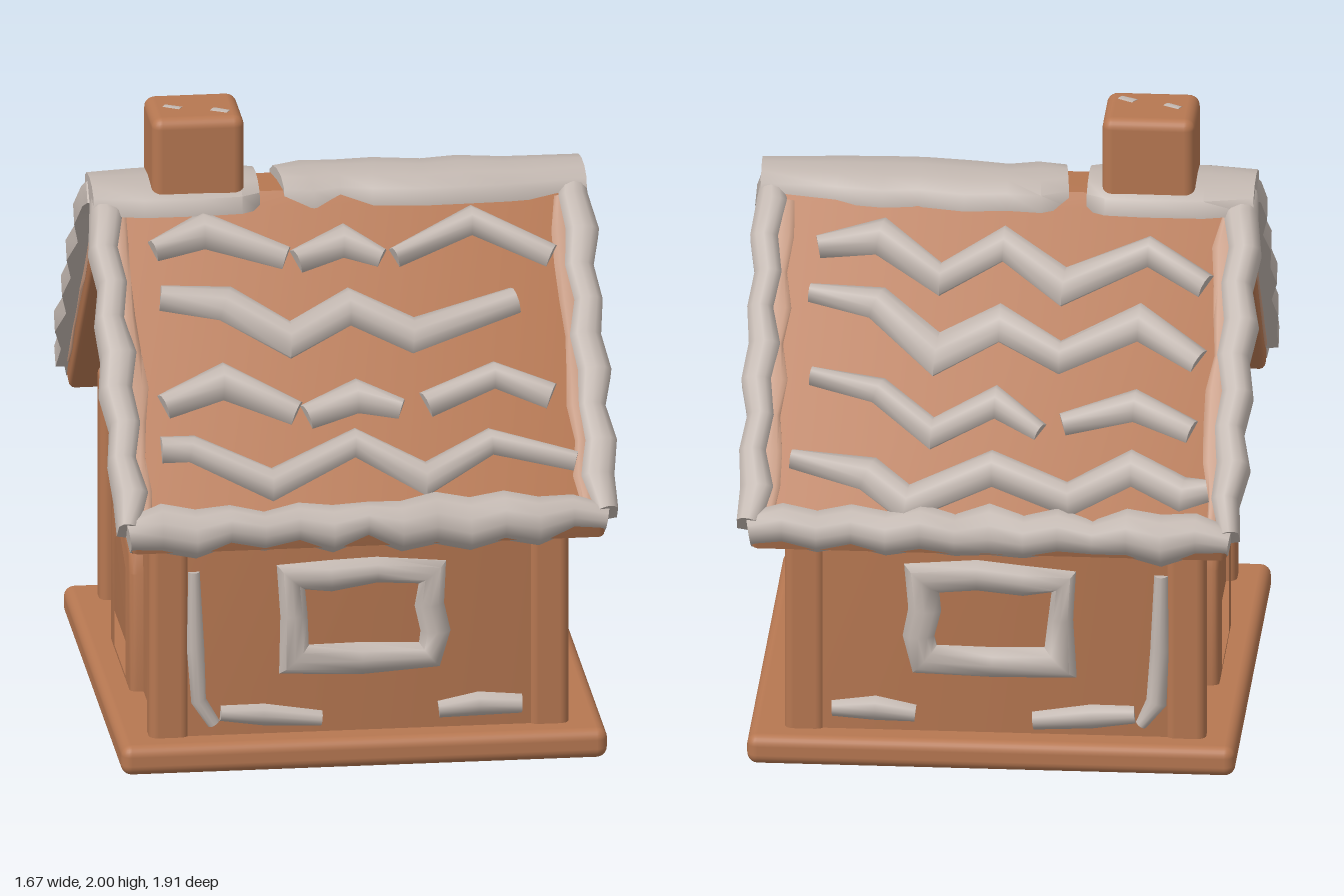
import * as THREE from 'three';
import { toCreasedNormals } from 'three/addons/utils/BufferGeometryUtils.js';
import { RoundedBoxGeometry } from 'three/addons/geometries/RoundedBoxGeometry.js';

const V = (x, y, z) => new THREE.Vector3(x, y, z);

export function createModel() {
  const model = new THREE.Group();
  const material = (name, color) => {
    const m = new THREE.MeshStandardMaterial({ color });
    m.name = name;
    return m;
  };
  const biscuit = material('gingerbread', 0xb67751);
  const icing = material('icing', 0xc2b7b0);
  const smear = material('thin icing smear', 0xc3967d);

  let seed = 7;
  const rand = () => (seed = (seed * 16807) % 2147483647) / 2147483647;
  const vary = (a) => 1 + (rand() * 2 - 1) * a;

  const add = (name, geometry, mat, parent = model) => {
    const mesh = new THREE.Mesh(geometry, mat);
    mesh.name = name;
    parent.add(mesh);
    return mesh;
  };
  const box = (name, w, h, d, r, x, y, z) =>
    add(name, new RoundedBoxGeometry(w, h, d, 3, r), biscuit).position.set(x, y, z);

  // Profile in the z-y plane, extruded along x with softened edges
  const slab = (shape, depth, bevel) => {
    const g = new THREE.ExtrudeGeometry(shape, {
      depth: depth - 2 * bevel, bevelEnabled: true, bevelSize: bevel,
      bevelThickness: bevel, bevelOffset: -bevel, bevelSegments: 3, curveSegments: 12,
    });
    g.translate(0, 0, -(depth - 2 * bevel) / 2).rotateY(Math.PI / 2);
    return toCreasedNormals(g, 0.6);
  };
  const polygon = (pts) => new THREE.Shape(pts.map(([a, b]) => new THREE.Vector2(a, b)));
  const mirrored = (half) => [...half, ...half.slice().reverse().filter((p) => p[0] !== 0).map(([a, b]) => [-a, b])];

  // Piped icing: a rounded, uneven bead swept along points lying on a surface with a given normal
  const bead = (name, pts, normal, w, h, { depth = 0.02, closed = false, rough = 0.2, mat = icing, parent = model } = {}) => {
    const n = normal.clone().normalize(), pos = [], index = [], count = pts.length, k = 7;
    pts.forEach((p, i) => {
      const before = closed ? pts[(i + count - 1) % count] : pts[Math.max(i - 1, 0)];
      const after = closed ? pts[(i + 1) % count] : pts[Math.min(i + 1, count - 1)];
      const a = p.clone().sub(before).normalize(), b = after.clone().sub(p).normalize();
      const t = a.clone().add(b).normalize();
      const miter = a.lengthSq() && b.lengthSq() ? 1 / Math.max(0.7, a.dot(t)) : 0.75;
      const side = t.cross(n).normalize();
      const ww = w * miter * vary(rough), hh = h * vary(rough);
      [[-1, -depth], [-0.95, hh * 0.15], [-0.55, hh * 0.8], [0, hh], [0.55, hh * 0.8], [0.95, hh * 0.15], [1, -depth]].forEach(([u, v]) => {
        const q = p.clone().addScaledVector(side, u * ww).addScaledVector(n, v);
        pos.push(q.x, q.y, q.z);
      });
    });
    for (let i = 0; i < (closed ? count : count - 1); i++) {
      const r0 = i * k, r1 = ((i + 1) % count) * k;
      for (let j = 0; j < k; j++) {
        const j1 = (j + 1) % k;
        index.push(r0 + j, r0 + j1, r1 + j1, r0 + j, r1 + j1, r1 + j);
      }
    }
    if (!closed) {
      const e = (count - 1) * k;
      for (let j = 1; j < k - 1; j++) index.push(0, j + 1, j, e, e + j, e + j + 1);
    }
    const g = new THREE.BufferGeometry();
    g.setAttribute('position', new THREE.Float32BufferAttribute(pos, 3));
    g.setIndex(index);
    return add(name, toCreasedNormals(g, 1.1), mat, parent);
  };

  // Base, walls and corner posts
  box('base', 1.58, 0.1, 1.65, 0.035, 0, 0.05, 0);
  add('walls', slab(polygon(mirrored([[0, 1.64], [0.728, 0.9], [0.728, 0.06]])), 1.31, 0.01), biscuit);
  for (const sx of [-1, 1]) for (const sz of [-1, 1])
    box('cornerPost', 0.13, 0.82, 0.1, 0.03, sx * 0.617 - 0.008, 0.47, sz * 0.69);

  // Roof and chimney
  const roofY = (z) => 1.69 - 1.05 * (Math.abs(z) - 0.13);
  const roofZ = (y) => 0.13 + (1.69 - y) / 1.05;
  add('roof', slab(polygon(mirrored(
    [[0, 1.735], [0.09, 1.73], [0.13, 1.69], [0.93, 0.85], [0.91, 0.79], [0.83, 0.765], [0, 1.6]])), 1.54, 0.02), biscuit);
  box('chimney', 0.3, 0.3, 0.27, 0.035, -0.46, 1.85, 0);
  for (const [x, z] of [[-0.53, 0], [-0.38, 0.05]])
    bead('chimneyFleck', [V(x - 0.025, 1.999, z - 0.01), V(x + 0.025, 1.999, z + 0.02)], V(0, 1, 0), 0.025, 0.003, { depth: 0.004 });

  // Icing along the ridge, open beside the chimney
  bead('ridgeIcing', [-0.8, -0.64, -0.45, -0.32, -0.26].map((x) => V(x, 1.73, 0)), V(0, 1, 0), 0.165, 0.04, { depth: 0.05, rough: 0.06 });
  bead('ridgeIcing', [[-0.19, 0], [-0.1, -0.01], [0, -0.02], [0.12, -0.015], [0.28, 0.01], [0.4, 0], [0.55, 0.01], [0.8, 0]]
    .map(([x, z]) => V(x, 1.732, z)), V(0, 1, 0), 0.14, 0.042, { depth: 0.05, rough: 0.1 });

  // Icing round the roof edges
  for (const s of [-1, 1]) {
    const n = V(0, 0.69, s * 0.724);
    const eave = [];
    for (let i = 0; i <= 14; i++) {
      const x = -0.78 + (i * 1.56) / 14;
      eave.push(V(x, 0.866 + (i % 2 ? 0.012 : -0.012), s * 0.896));
    }
    bead('eaveIcing', eave, V(0, 0.5, s * 0.86), 0.068, 0.046, { depth: 0.05, rough: 0.22 });
    for (const sx of [-1, 1]) {
      const edge = [V(sx * 0.765, 1.735, s * 0.04)], flat = [], face = [];
      for (let i = 0; i <= 9; i++) {
        const z = 0.13 + i * 0.086;
        edge.push(V(sx * (0.765 + (i % 2 ? 0.012 : -0.008)), roofY(z), s * z));
        flat.push(V(sx * 0.72, roofY(z), s * z));
        if (i < 9) face.push(V(sx * 0.77, roofY(z) - 0.105, s * z));
      }
      bead('gableIcing', edge, n, 0.05, 0.03, { depth: 0.07, rough: 0.14 });
      bead('gableSmear', flat, n, 0.033, 0.005, { depth: 0.004, rough: 0.5, mat: smear });
      bead('gableFaceSmear', face, V(sx, 0, 0), 0.02, 0.004, { depth: 0.004, rough: 0.6, mat: smear });
    }
  }

  // Zigzag icing on the front slope (x, y)
  [
    [[-0.62, 1.6], [-0.45, 1.65], [-0.19, 1.57]],
    [[-0.16, 1.56], [0, 1.61], [0.12, 1.56]],
    [[0.16, 1.56], [0.42, 1.65], [0.67, 1.55]],
    [[-0.61, 1.48], [-0.4, 1.46], [-0.2, 1.36], [0, 1.44], [0.2, 1.36], [0.54, 1.44]],
    [[-0.63, 1.2], [-0.43, 1.26], [-0.2, 1.17]],
    [[-0.17, 1.16], [0, 1.21], [0.14, 1.17]],
    [[0.22, 1.18], [0.45, 1.25], [0.63, 1.19]],
    [[-0.65, 1.09], [-0.55, 1.09], [-0.3, 0.99], [-0.02, 1.09], [0.2, 0.99], [0.42, 1.08], [0.69, 1.02]],
  ].forEach((row) => bead('frontRoofZigzag', row.map(([x, y]) => V(x, y - 0.015, roofZ(y - 0.015))), V(0, 0.69, 0.724), 0.054, 0.05));

  // Zigzag icing on the back slope (x, z)
  [
    [[-0.7, -0.8], [-0.62, -0.81], [-0.45, -0.75], [-0.25, -0.83], [0, -0.76], [0.27, -0.85], [0.4, -0.78], [0.65, -0.75]],
    [[-0.64, -0.66], [-0.45, -0.6], [-0.22, -0.65]],
    [[-0.15, -0.67], [0, -0.6], [0.2, -0.68], [0.38, -0.58], [0.6, -0.55]],
    [[-0.65, -0.49], [-0.45, -0.4], [-0.2, -0.49], [0, -0.41], [0.2, -0.49], [0.4, -0.37], [0.62, -0.35]],
    [[-0.66, -0.31], [-0.47, -0.23], [-0.2, -0.32], [0, -0.22], [0.2, -0.31], [0.4, -0.21], [0.6, -0.24]],
  ].forEach((row) => bead('backRoofZigzag', row.map(([x, z]) => V(x, roofY(z), z)), V(0, 0.69, -0.724), 0.054, 0.046));

  // Front and back walls: window frame and icing drips
  for (const s of [-1, 1]) {
    const wall = (pts) => pts.map(([x, y]) => V(x, y, s * 0.728));
    const n = V(0, 0, s);
    bead('windowIcing', wall([[-0.22, 0.35], [0, 0.345], [0.22, 0.35], [0.24, 0.43], [0.22, 0.52], [0.23, 0.63],
      [0.05, 0.645], [-0.1, 0.63], [-0.23, 0.63], [-0.22, 0.5]]), n, 0.048, 0.036, { closed: true });
    bead('cornerDrip', wall([[-0.545, 0.66], [-0.54, 0.4], [-0.53, 0.22], [-0.48, 0.14]]), n, 0.03, 0.022);
    bead('lowerDrip', wall([[-0.46, 0.175], [-0.32, 0.165], [-0.13, 0.145]]), n, 0.042, 0.028);
    bead('lowerDrip', wall([[0.25, 0.16], [0.38, 0.175], [0.52, 0.17]]), n, 0.04, 0.028);
  }

  // Gable ends: arched door frame and round iced window
  const frame = polygon(mirrored([[0, 0.635], [0.19, 0.6], [0.245, 0.565], [0.27, 0.5], [0.27, 0.08]]));
  frame.holes.push(polygon(mirrored([[0, 0.575], [0.175, 0.5], [0.18, 0.09]])));
  const frameGeometry = slab(frame, 0.1, 0.025);
  const ring = [];
  for (let i = 0; i < 12; i++) {
    const a = (i * Math.PI) / 6, r = i % 2 ? 0.222 : 0.212;
    ring.push(V(0.655, 1.015 + r * Math.sin(a), r * Math.cos(a)));
  }
  for (const turn of [0, Math.PI]) {
    const end = new THREE.Group();
    end.name = 'gableEnd';
    end.rotation.y = turn;
    add('doorFrame', frameGeometry, biscuit, end).position.x = 0.65;
    bead('roundWindowIcing', ring, V(1, 0, 0), 0.036, 0.04, { closed: true, parent: end });
    model.add(end);
  }
  return model;
}
